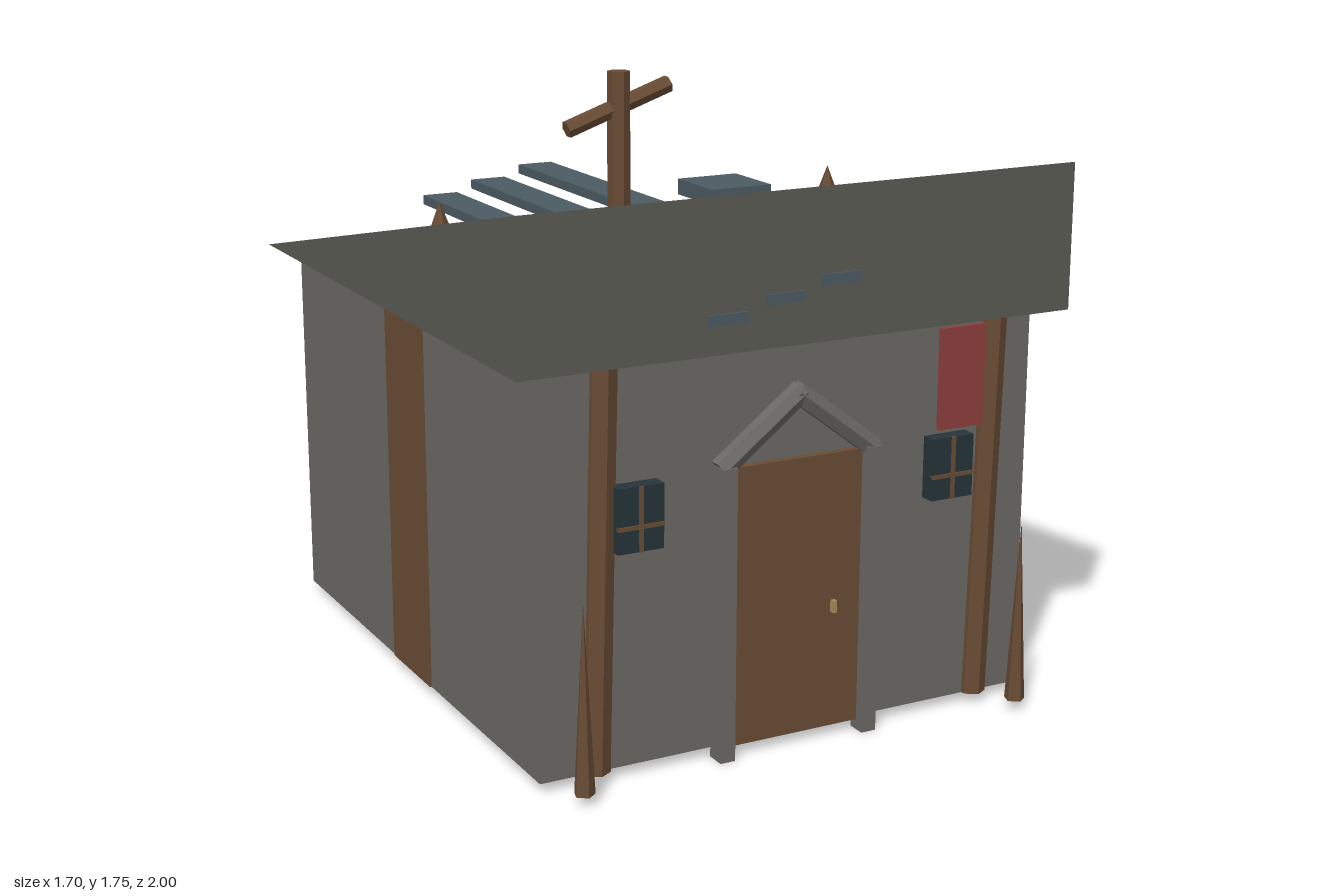
import * as THREE from 'three';

const paint = (color) => new THREE.MeshStandardMaterial({ color, flatShading: true });
const stone = paint(0x6b6865), roofing = paint(0x595b52), wood = paint(0x684b34);
const slate = paint(0x4c5a62), glass = paint(0x26343a), red = paint(0x8c3f3c), brass = paint(0xa8895a);

export function createModel() {
  const model = new THREE.Group();

  const add = (name, geometry, material, x = 0, y = 0, z = 0, tilt = 0) => {
    const mesh = new THREE.Mesh(geometry, material);
    mesh.name = name;
    mesh.position.set(x, y, z);
    mesh.rotation.z = tilt;
    model.add(mesh);
    return mesh;
  };
  // Box given by its extents
  const box = (name, material, x0, x1, y0, y1, z0, z1) =>
    add(name, new THREE.BoxGeometry(x1 - x0, y1 - y0, z1 - z0), material,
      (x0 + x1) / 2, (y0 + y1) / 2, (z0 + z1) / 2);
  // Six-sided pole between two points of a plane z = constant
  const pole = (name, material, r, ax, ay, bx, by, z) =>
    add(name, new THREE.CylinderGeometry(r, r, Math.hypot(bx - ax, by - ay), 6), material,
      (ax + bx) / 2, (ay + by) / 2, z, -Math.atan2(bx - ax, by - ay));
  const spike = (name, r, x, y0, y1, z) =>
    add(name, new THREE.ConeGeometry(r, y1 - y0, 5), wood, x, (y0 + y1) / 2, z);

  // Walls
  box('walls', stone, -0.77, 0.77, 0.03, 1.177, -0.91, 0.862);

  // Wedge roof: side profile extruded across the width
  const profile = new THREE.Shape([
    new THREE.Vector2(-0.93, 1.16), new THREE.Vector2(0.98, 1.16), new THREE.Vector2(-0.93, 1.58),
  ]);
  const wedge = new THREE.ExtrudeGeometry(profile, { depth: 1.704, bevelEnabled: false });
  wedge.translate(0, 0, -0.852).rotateY(Math.PI / 2);
  add('roof', wedge, roofing);

  // Planks running through the roof
  [[-0.25, 1.24], [-0.078, 1.278], [0.095, 1.315]].forEach(([x, y]) =>
    box('roofPlank', slate, x - 0.06, x + 0.06, y, y + 0.03, -1, 0.937));
  box('roofHatch', slate, 0.3, 0.51, 1.325, 1.375, -0.363, -0.14);

  // Crooked cross on the roof
  pole('crossPost', wood, 0.035, 0, 1.3, 0, 1.755, -0.185);
  pole('crossBeam', wood, 0.027, -0.172, 1.588, 0.172, 1.706, -0.19);

  // Leaning front posts
  pole('frontPost', wood, 0.042, -0.604, 0.03, -0.578, 1.2, 0.856);
  pole('frontPost', wood, 0.042, 0.618, 0.03, 0.646, 1.2, 0.856);

  // Door with handle
  box('door', wood, -0.205, 0.205, 0.03, 0.83, 0.8, 0.885);
  box('doorHandle', brass, 0.111, 0.124, 0.37, 0.405, 0.88, 0.9);

  for (const s of [-1, 1]) {
    // Door frame: jambs, inner jambs hidden in the wall, and gable beams
    const jamb = (name, x, w, top, z0, z1) =>
      box(name, stone, s * x - w / 2, s * x + w / 2, 0, top, z0, z1);
    jamb('doorJamb', 0.228, 0.046, 0.84, 0.857, 0.915);
    jamb('innerJamb', 0.192, 0.036, 0.8, 0.48, 0.59);
    pole('gableBeam', stone, 0.032, s * 0.24, 0.83, s * -0.01, 1.02, 0.88).rotation.order = 'ZYX';

    // Window with cross bars
    const x = s * 0.491;
    box('windowPane', glass, x - 0.068, x + 0.068, 0.65, 0.83, 0.855, 0.908);
    box('windowBar', wood, x - 0.006, x + 0.006, 0.65, 0.83, 0.9, 0.913);
    box('windowBar', wood, x - 0.068, x + 0.068, 0.714, 0.725, 0.9, 0.913);

    // Side panel
    box('sidePanel', wood, s * 0.765 - 0.01, s * 0.765 + 0.01, 0.03, 1.16, -0.172, 0.112);

    // Spikes in front and on the roof
    spike('frontSpike', 0.03, s * 0.692, 0.03, 0.565, 0.97);
    spike('roofSpike', 0.035, s * 0.65, 1.35, 1.44, -0.035);
  }

  // Hanging banner
  box('banner', red, 0.43, 0.575, 0.86, 1.15, 0.91, 0.925);

  return model;
}
